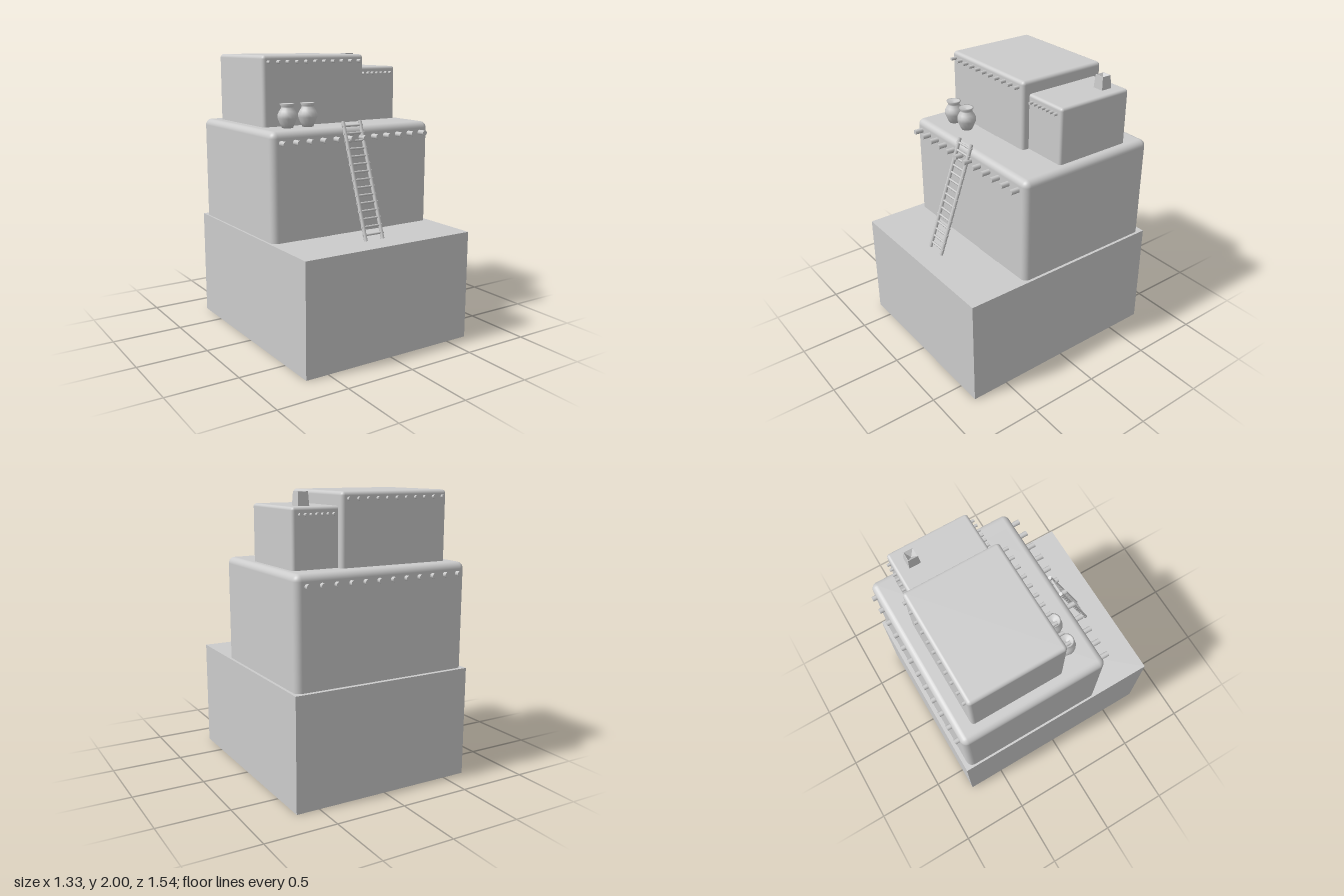
import * as THREE from 'three';
import { RoundedBoxGeometry } from 'three/addons/geometries/RoundedBoxGeometry.js';

export function createModel() {
  const model = new THREE.Group();
  const clay = new THREE.MeshStandardMaterial({ color: 0xcccccc });
  const thin = new THREE.MeshStandardMaterial({ color: 0xcccccc, side: THREE.DoubleSide });

  function add(name, geometry, x = 0, y = 0, z = 0, material = clay, parent = model) {
    const mesh = new THREE.Mesh(geometry, material);
    mesh.name = name;
    mesh.position.set(x, y, z);
    parent.add(mesh);
    return mesh;
  }

  // Soft-edged adobe block given by its extents
  function block(name, x0, x1, y0, y1, z0, z1, radius) {
    add(name, new RoundedBoxGeometry(x1 - x0, y1 - y0, z1 - z0, 4, radius),
      (x0 + x1) / 2, (y0 + y1) / 2, (z0 + z1) / 2);
  }

  // Row of round beams running through a block, showing at front and back
  function beams(name, count, xFirst, xLast, y, zBack, zFront, radius) {
    const row = new THREE.Group();
    row.name = name;
    const geometry = new THREE.CylinderGeometry(radius, radius, zFront - zBack, 10).rotateX(Math.PI / 2);
    for (let i = 0; i < count; i++) {
      const x = xFirst + (xLast - xFirst) * i / (count - 1);
      add('beam', geometry, x, y, (zBack + zFront) / 2, clay, row);
    }
    model.add(row);
  }

  // Flat panel lying just off a wall; facing is 1 for front, -1 for back
  function panel(name, x, y0, y1, width, wallZ, facing = 1) {
    const mesh = add(name, new THREE.PlaneGeometry(width, y1 - y0), x, (y0 + y1) / 2, wallZ + 0.003 * facing);
    if (facing < 0) mesh.rotation.y = Math.PI;
  }

  // Open-bottomed plinth: a box without its underside
  const plinth = new THREE.BoxGeometry(1.33, 0.78, 1.54);
  plinth.setIndex([...plinth.index.array].filter((_, i) => i < 18 || i > 23));
  plinth.clearGroups();
  add('plinth', plinth, 0, 0.39, 0, thin);

  // Three stacked houses
  block('lowerHouse', -0.65, 0.645, 0.73, 1.52, -0.74, 0.333, 0.045);
  block('upperHouse', -0.56, 0.257, 1.47, 2.0, -0.625, 0.055, 0.025);
  block('sideRoom', 0.2, 0.58, 1.47, 1.91, -0.578, 0.003, 0.02);

  beams('lowerBeams', 12, -0.58, 0.565, 1.445, -0.77, 0.395, 0.018);
  beams('upperBeams', 11, -0.52, 0.207, 1.955, -0.645, 0.095, 0.012);
  beams('sideRoomBeams', 7, 0.29, 0.53, 1.863, -0.602, 0.03, 0.01);

  // Doors and front windows
  panel('lowerDoor', -0.31, 0.78, 1.19, 0.22, 0.333);
  panel('lowerDoor', 0.24, 0.78, 1.19, 0.21, 0.333);
  panel('upperDoor', -0.135, 1.52, 1.92, 0.21, 0.055);
  panel('upperWindow', -0.4, 1.67, 1.86, 0.09, 0.055);
  panel('upperWindow', 0.108, 1.66, 1.85, 0.09, 0.055);
  panel('sideRoomWindow', 0.42, 1.66, 1.79, 0.06, 0.003);

  // Back windows
  for (const x of [0.44, -0.03, -0.39]) panel('lowerBackWindow', x, 0.995, 1.185, 0.095, -0.74, -1);
  for (const x of [0.15, -0.11, -0.38]) panel('upperBackWindow', x, 1.67, 1.85, 0.09, -0.625, -1);

  // Mats on the terrace
  for (const [x, z, w, d] of [[0.01, 0.18, 0.34, 0.19], [0.42, 0.185, 0.22, 0.17]]) {
    add('terraceMat', new THREE.PlaneGeometry(w, d).rotateX(-Math.PI / 2), x, 1.523, z);
  }

  // Tapered square chimney with a hollow top
  const chimneyProfile = [[0.058, 0], [0.049, 0.1], [0.044, 0.1], [0, 0.06]].map(p => new THREE.Vector2(...p));
  const chimney = new THREE.LatheGeometry(chimneyProfile, 4).rotateY(Math.PI / 4).toNonIndexed();
  chimney.computeVertexNormals();
  add('chimney', chimney, 0.457, 1.9, -0.455, thin);

  // Water jars
  const jarProfile = [
    [0, 0], [0.038, 0], [0.052, 0.03], [0.066, 0.065], [0.067, 0.088], [0.056, 0.112],
    [0.042, 0.133], [0.042, 0.143], [0.052, 0.162], [0.042, 0.162], [0, 0.148],
  ].map(p => new THREE.Vector2(...p));
  const jar = new THREE.LatheGeometry(jarProfile, 16);
  for (const x of [-0.428, -0.268]) add('waterJar', jar, x, 1.52, 0.147, thin);

  // Leaning ladder: two rails with rungs poking through
  const ladder = new THREE.Group();
  ladder.name = 'ladder';
  const foot = new THREE.Vector3(0, 0.785, 0.603);
  const head = new THREE.Vector3(0, 1.56, 0.322);
  const lean = new THREE.Vector3().subVectors(head, foot);
  const rail = new THREE.CylinderGeometry(0.013, 0.013, lean.length(), 8);
  for (const x of [-0.096, 0.042]) {
    const mesh = add('ladderRail', rail, x, (foot.y + head.y) / 2, (foot.z + head.z) / 2, clay, ladder);
    mesh.quaternion.setFromUnitVectors(new THREE.Vector3(0, 1, 0), lean.clone().normalize());
  }
  const rung = new THREE.CylinderGeometry(0.008, 0.008, 0.168, 8).rotateZ(Math.PI / 2);
  for (let i = 0; i < 15; i++) {
    const p = foot.clone().addScaledVector(lean, 0.05 + 0.91 * i / 14);
    add('ladderRung', rung, -0.027, p.y, p.z, clay, ladder);
  }
  model.add(ladder);

  return model;
}
